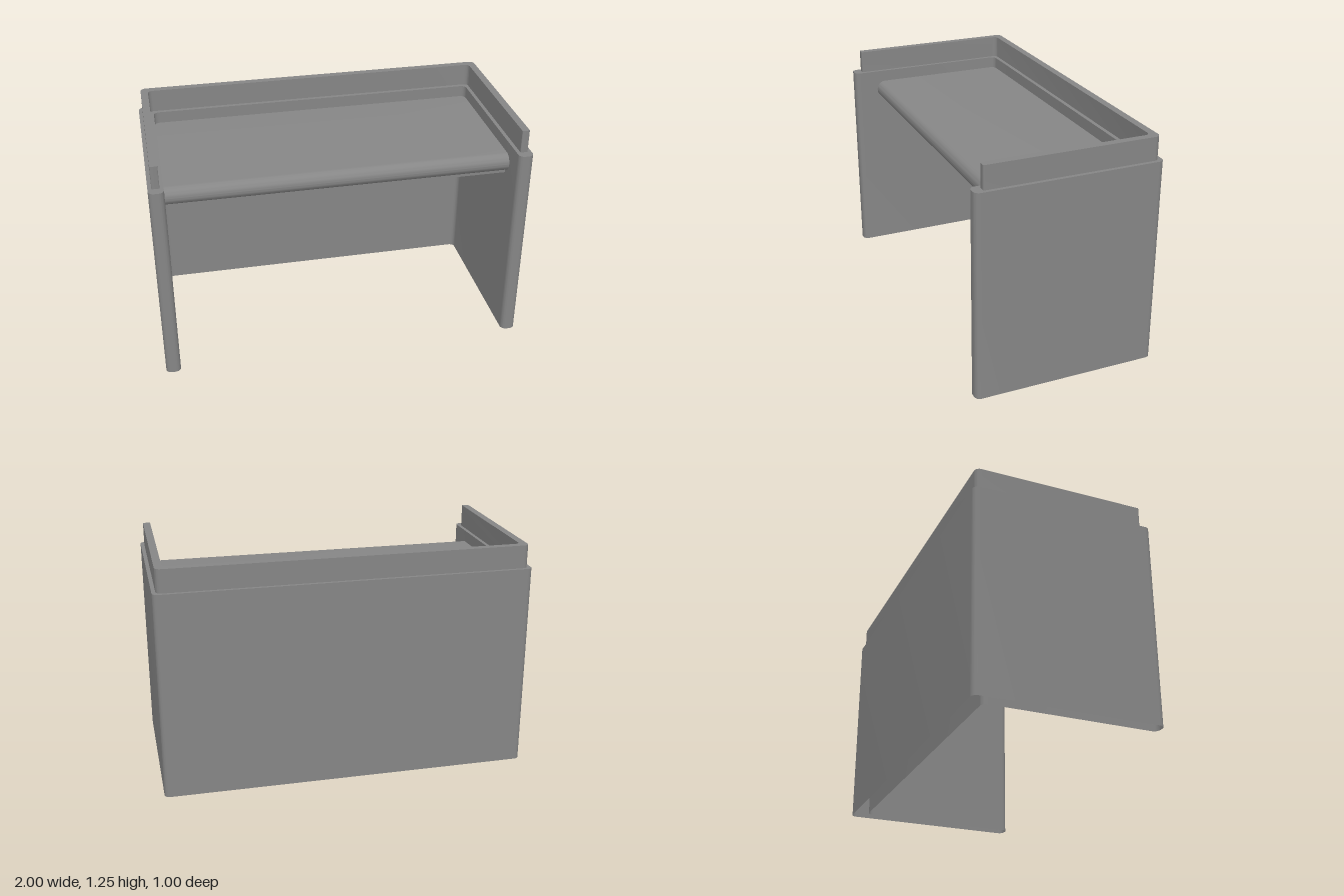
import * as THREE from 'three';
import { toCreasedNormals } from 'three/addons/utils/BufferGeometryUtils.js';

const K = 0.5523; // bezier handle length for a quarter circle

// Closed outline from [x, y, radius] corners
function roundedOutline(corners) {
  const shape = new THREE.Shape();
  const n = corners.length;
  corners.forEach(([x, y, r], i) => {
    const at = new THREE.Vector2(x, y);
    const toward = ([px, py], d) =>
      new THREE.Vector2(px, py).sub(at).normalize().multiplyScalar(d).add(at);
    const prev = corners[(i + n - 1) % n], next = corners[(i + 1) % n];
    const a = toward(prev, r), b = toward(next, r);
    if (i === 0) shape.moveTo(a.x, a.y);
    else shape.lineTo(a.x, a.y);
    if (r > 0) {
      const c1 = toward(prev, r * (1 - K)), c2 = toward(next, r * (1 - K));
      shape.bezierCurveTo(c1.x, c1.y, c2.x, c2.y, b.x, b.y);
    }
  });
  shape.closePath();
  return shape;
}

function extrude(corners, depth) {
  return new THREE.ExtrudeGeometry(roundedOutline(corners), { depth, bevelEnabled: false, curveSegments: 10 });
}

// Drop the downward-facing triangles, leaving a hollow shell open below
function openBottom(geometry) {
  const pos = geometry.attributes.position, normal = geometry.attributes.normal;
  const kept = [];
  for (let i = 0; i < pos.count; i++) {
    if (normal.getY(i) > -0.5) kept.push(pos.getX(i), pos.getY(i), pos.getZ(i));
  }
  const shell = new THREE.BufferGeometry();
  shell.setAttribute('position', new THREE.Float32BufferAttribute(kept, 3));
  return shell;
}

// U-shaped hollow wall in plan, open to the front, standing from y0 to y1
function uWall({ outer, thick, back, front, y0, y1, rOuter, rInner, rEnd }) {
  const inner = outer - thick, innerBack = back + thick;
  const geo = extrude([
    [-outer, -front, rEnd], [-inner, -front, rEnd],
    [-inner, -innerBack, rInner], [inner, -innerBack, rInner],
    [inner, -front, rEnd], [outer, -front, rEnd],
    [outer, -back, rOuter], [-outer, -back, rOuter],
  ], y1 - y0);
  return openBottom(geo.rotateX(-Math.PI / 2).translate(0, y0, 0));
}

// Side profile of [z, y, radius] corners swept across the full width
function acrossWidth(corners, width) {
  return extrude(corners, width).rotateY(-Math.PI / 2).translate(width / 2, 0, 0);
}

export function createModel() {
  const group = new THREE.Group();
  const material = new THREE.MeshStandardMaterial({ color: 0x868686, side: THREE.DoubleSide });
  const add = (name, geometry) => {
    const mesh = new THREE.Mesh(toCreasedNormals(geometry, 0.6), material);
    mesh.name = name;
    group.add(mesh);
  };

  // Sides and back in one bent panel
  add('surroundPanel', uWall({
    outer: 1, thick: 0.08, back: -0.5, front: 0.5, y0: 0, y1: 1.125,
    rOuter: 0.03, rInner: 0.03, rEnd: 0.03,
  }));

  // Thinner raised rim on top of the panel
  add('upperRim', uWall({
    outer: 0.98, thick: 0.04, back: -0.482, front: 0.45, y0: 1.125, y1: 1.25,
    rOuter: 0.03, rInner: 0.025, rEnd: 0.005,
  }));

  // Worktop with a rounded front edge
  add('worktop', acrossWidth([
    [-0.43, 0.96, 0], [0.365, 0.96, 0.049], [0.365, 1.06, 0.049], [-0.43, 1.06, 0],
  ], 1.85));

  // Shallow backing board set back under the worktop
  add('worktopBacking', acrossWidth([
    [-0.43, 0.936, 0], [0.315, 0.936, 0], [0.315, 0.962, 0], [-0.43, 0.962, 0],
  ], 1.85));

  return group;
}
